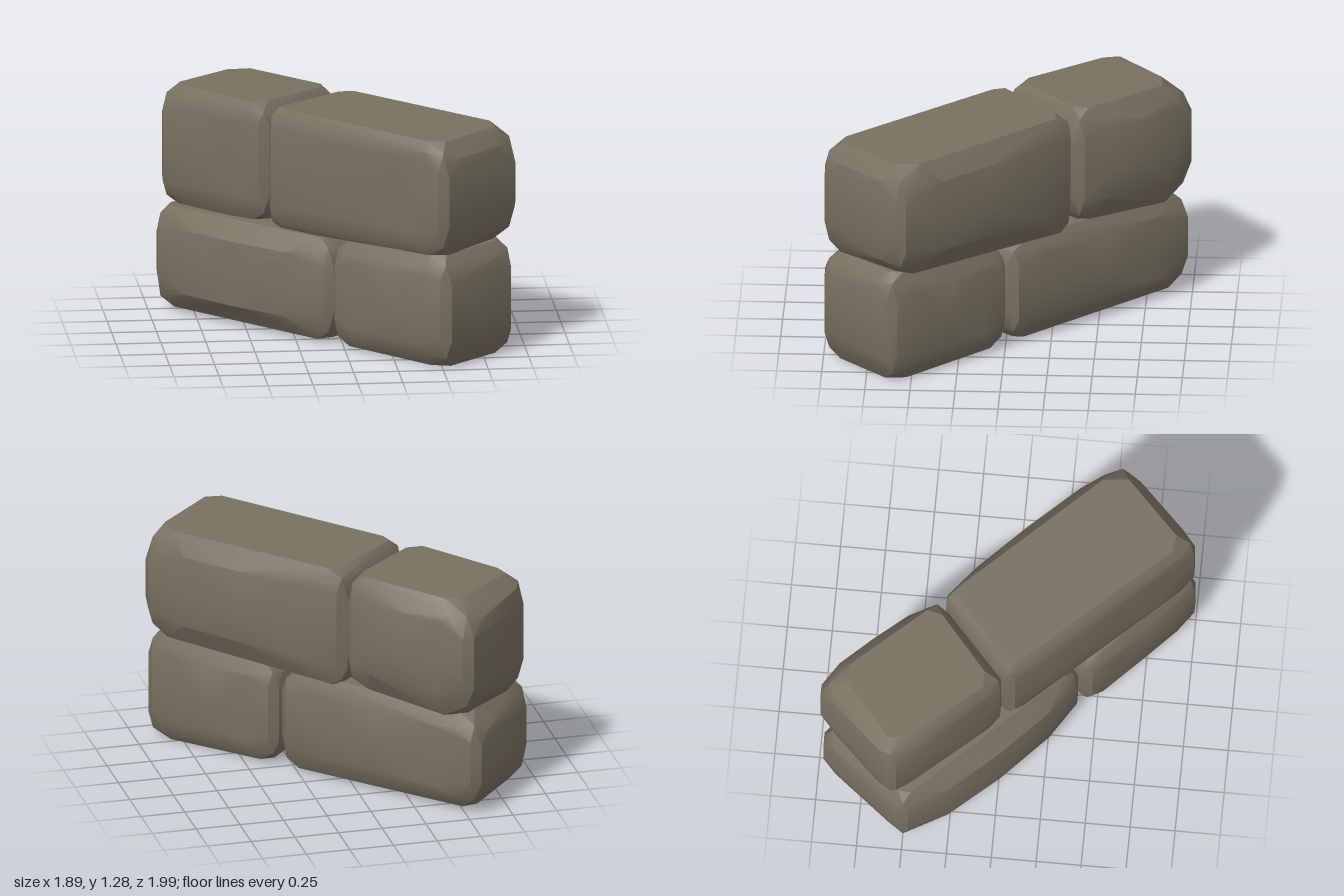
import * as THREE from 'three';
import { toCreasedNormals } from 'three/addons/utils/BufferGeometryUtils.js';
import { ConvexGeometry } from 'three/addons/geometries/ConvexGeometry.js';

// Small seeded generator for the irregular chipping of the edges
function seeded(seed) {
  let s = seed;
  return () => (s = (s * 16807) % 2147483647) / 2147483647;
}

// One hewn block. Plan corners (along, across): backLeft, backRight, frontRight, frontLeft.
// low and high give the height at the left and right ends, wear the chipping of each plan
// corner; bulge swells the broad faces.
function stoneGeometry({ plan, low, high, wear, bulge, seed }) {
  const rand = seeded(seed);
  const points = [];
  const corner = (i, top) => {
    const right = i === 1 || i === 2 ? 1 : 0;
    return new THREE.Vector3(plan[i][0], (top ? high : low)[right], plan[i][1]);
  };

  // Chip every corner so each face becomes an uneven octagon
  for (let i = 0; i < 4; i++) {
    for (const top of [0, 1]) {
      const c = corner(i, top);
      const sx = i === 1 || i === 2 ? -1 : 1;
      const sy = top ? -1 : 1;
      const sz = i < 2 ? 1 : -1;
      const chip = (size) => size * wear[i] * (0.8 + 0.4 * rand());
      const cut = (x, y, z) => points.push(new THREE.Vector3(c.x + sx * x, c.y + sy * y, c.z + sz * z));
      // end face
      cut(0.005, chip(0.16), 0.05);
      cut(0.015, chip(0.08), chip(0.12));
      // top or bottom face
      cut(chip(0.13), 0, chip(0.045));
      cut(chip(0.07), 0, chip(0.11));
      // front or back face
      cut(0.05, chip(0.14), 0.005);
      cut(chip(0.13), chip(0.06), 0.012);
      // rounded tip
      cut(0.04 * wear[i], 0.05 * wear[i], 0.04 * wear[i]);
    }
  }

  // Swell the broad faces a little around their middles
  const at = (a, b, t, h) => {
    const lo = corner(a, 0).lerp(corner(b, 0), t);
    return lo.lerp(corner(a, 1).lerp(corner(b, 1), t), h);
  };
  for (const [h, fullness] of [[0.2, 0.9], [0.45, 1], [0.83, 0.75]]) {
    for (const [t, swell] of [[0.22, 0.75], [0.5, 1], [0.78, 0.7]]) {
      const back = at(0, 1, t, h);
      const front = at(3, 2, t, h);
      back.z -= bulge.back * swell * fullness;
      front.z += bulge.front * swell * fullness;
      points.push(back, front);
    }
  }
  return toCreasedNormals(new ConvexGeometry(points), 0.5);
}

export function createModel() {
  const stone = new THREE.MeshStandardMaterial({ color: 0x787060 });
  stone.name = 'stone';

  const blocks = {
    lowerLongStone: {
      plan: [[-1.1, -0.33], [0.22, -0.28], [0.25, 0.365], [-1.05, 0.345]],
      low: [0.025, 0.02], high: [0.6, 0.6], wear: [1.3, 1, 1, 1],
      bulge: { front: 0.07, back: 0.01 }, seed: 11,
    },
    lowerShortStone: {
      plan: [[0.23, -0.28], [1.1, -0.245], [1.095, 0.365], [0.25, 0.38]],
      low: [0.02, 0], high: [0.61, 0.64], wear: [1, 1, 1.1, 1],
      bulge: { front: 0.01, back: 0.01 }, seed: 29,
    },
    upperShortStone: {
      plan: [[-1.08, -0.38], [-0.23, -0.33], [-0.26, 0.31], [-1.075, 0.27]],
      low: [0.58, 0.61], high: [1.275, 1.28], wear: [1.5, 1, 0.9, 1.1],
      bulge: { front: 0.01, back: 0.03 }, seed: 47,
    },
    upperLongStone: {
      plan: [[-0.23, -0.315], [1.085, -0.3], [1.085, 0.375], [-0.26, 0.32]],
      low: [0.59, 0.635], high: [1.28, 1.28], wear: [0.85, 1.25, 1.1, 0.85],
      bulge: { front: 0.005, back: 0.04 }, seed: 83,
    },
  };

  // The wall runs diagonally across the plan
  const wall = new THREE.Group();
  wall.name = 'stoneWall';
  for (const [name, spec] of Object.entries(blocks)) {
    const mesh = new THREE.Mesh(stoneGeometry(spec), stone);
    mesh.name = name;
    wall.add(mesh);
  }
  wall.rotation.y = -Math.PI / 4;

  const model = new THREE.Group();
  model.name = 'stoneWallSegment';
  model.add(wall);
  return model;
}
